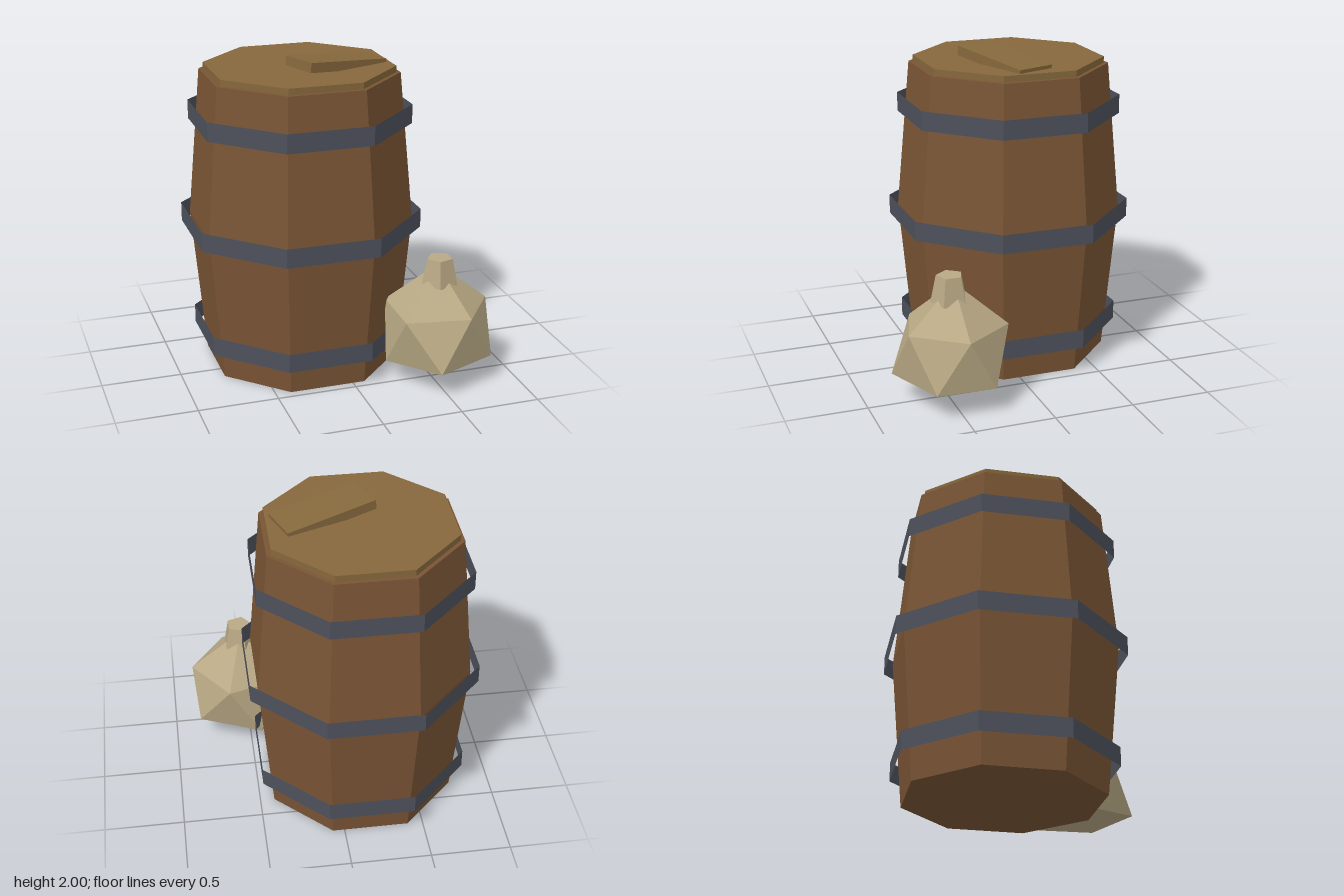
import * as THREE from 'three';

const EIGHTH = Math.PI / 8;
const toCorner = 1 / Math.cos(EIGHTH); // flat-to-centre distance -> corner radius

const paint = (color, side = THREE.FrontSide) =>
  new THREE.MeshStandardMaterial({ color, side, flatShading: true });

function part(name, geometry, material, x = 0, y = 0, z = 0) {
  const mesh = new THREE.Mesh(geometry, material);
  mesh.name = name;
  mesh.position.set(x, y, z);
  return mesh;
}

// Lumpy sack: a point on top, two staggered rings of five and a point below
function sackGeometry() {
  const top = [0.535, 0.745, 0.47];
  const base = [0.535, 0.135, 0.47];
  const upper = [[0.865, 0.485, 0.475], [0.64, 0.487, 0.78], [0.262, 0.465, 0.665], [0.265, 0.47, 0.28], [0.637, 0.478, 0.16]];
  const lower = [[0.83, 0.17, 0.67], [0.437, 0.17, 0.833], [0.207, 0.135, 0.47], [0.437, 0.135, 0.165], [0.835, 0.165, 0.305]];
  const corners = [];
  for (let i = 0; i < 5; i++) {
    const j = (i + 1) % 5;
    corners.push(top, upper[j], upper[i]);
    corners.push(upper[i], upper[j], lower[i]);
    corners.push(lower[i], upper[j], lower[j]);
    corners.push(base, lower[i], lower[j]);
  }
  const geometry = new THREE.BufferGeometry();
  geometry.setAttribute('position', new THREE.Float32BufferAttribute(corners.flat(), 3));
  geometry.computeVertexNormals();
  return geometry;
}

export function createModel() {
  const model = new THREE.Group();
  model.name = 'barrelWithSack';

  const wood = paint(0x7a5535);
  const lidWood = paint(0x86683c);
  const iron = paint(0x4d515b, THREE.DoubleSide);
  const cloth = paint(0xb8a884);

  const barrel = new THREE.Group();
  barrel.name = 'barrel';
  barrel.position.set(-0.165, 0, -0.13);
  model.add(barrel);

  // Eight-sided bulging body, closed at both ends
  const profile = [[0, 0], [0.575, 0], [0.655, 0.94], [0.575, 1.88], [0, 1.88]]
    .map(([r, y]) => new THREE.Vector2(r * toCorner, y));
  barrel.add(part('barrelBody', new THREE.LatheGeometry(profile, 8, EIGHTH), wood));

  // Thin open hoops standing clear of the staves
  const hoops = [['lowerHoop', 0.645, 0.23], ['middleHoop', 0.705, 0.94], ['upperHoop', 0.645, 1.62]];
  for (const [name, flat, y] of hoops) {
    const r = flat * toCorner;
    barrel.add(part(name, new THREE.CylinderGeometry(r, r, 0.12, 8, 1, true, EIGHTH), iron, 0, y, 0));
  }

  // Lid with a tilted plank on it
  const lidRadius = 0.55 * toCorner;
  barrel.add(part('lid', new THREE.CylinderGeometry(lidRadius, lidRadius, 0.04, 8, 1, false, EIGHTH), lidWood, 0, 1.9, 0));
  const plank = part('lidPlank', new THREE.BoxGeometry(0.583, 0.06, 0.25), lidWood, 0.043, 1.941, -0.027);
  plank.rotation.set(0, 0.355, -0.1, 'YXZ');
  model.add(plank);

  // Tied sack leaning against the barrel
  const sack = new THREE.Group();
  sack.name = 'sack';
  sack.add(part('sackBody', sackGeometry(), cloth));
  sack.add(part('sackNeck', new THREE.CylinderGeometry(0.082, 0.117, 0.17, 5, 1, false, -Math.PI / 2), cloth, 0.54, 0.712, 0.493));
  model.add(sack);

  return model;
}
